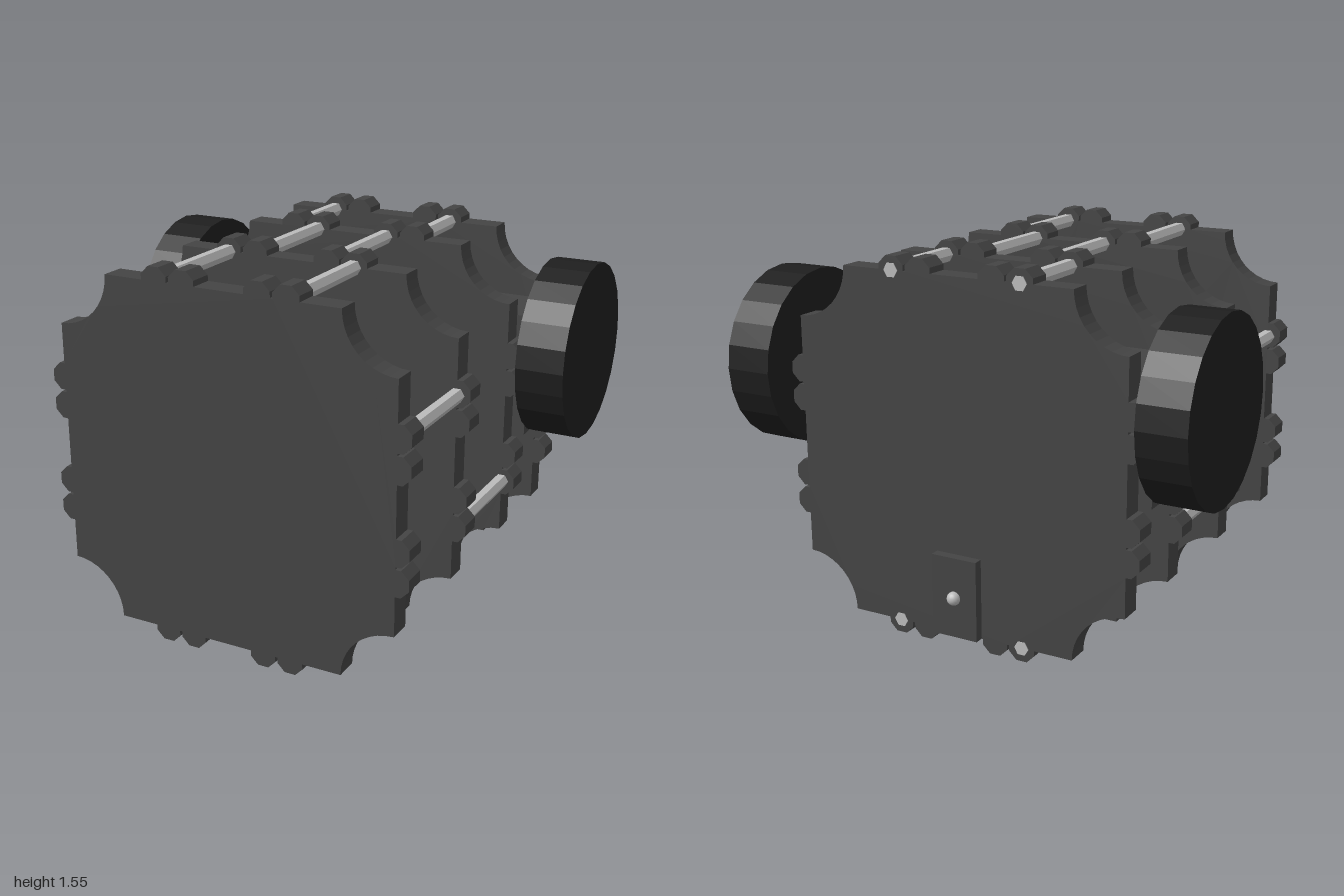
import * as THREE from 'three';

const MID = 0.78;      // height of the plate centre
const HALF = 0.72;     // half width of a plate
const BITE = 0.22;     // radius of the scooped corners
const DEPTH = 0.098;   // plate thickness

const material = (color) => new THREE.MeshStandardMaterial({ color, flatShading: true });
const plateMat = material(0x444444);
const wheelMat = material(0x1e1e1e);
const rodMat = material(0xbbbbbb);

function add(parent, name, geometry, mat, x, y, z) {
  const mesh = new THREE.Mesh(geometry, mat);
  mesh.name = name;
  mesh.position.set(x, y, z);
  parent.add(mesh);
  return mesh;
}

// Square outline: four octagonal lugs per edge, a concave scoop at each corner
function plateShape() {
  const side = [[-HALF + BITE, HALF]];
  for (const c of [-0.28, -0.16, 0.16, 0.28]) {
    side.push([c - 0.055, HALF], [c - 0.055, HALF + 0.023], [c - 0.023, HALF + 0.055],
      [c + 0.023, HALF + 0.055], [c + 0.055, HALF + 0.023], [c + 0.055, HALF]);
  }
  for (let i = 0; i < 10; i++) {
    const a = Math.PI + (i / 10) * Math.PI / 2;
    side.push([HALF + BITE * Math.cos(a), HALF + BITE * Math.sin(a)]);
  }
  const points = [];
  for (let k = 0; k < 4; k++) {
    for (const [x, y] of side) {
      points.push(new THREE.Vector2(x, y).rotateAround(new THREE.Vector2(), -k * Math.PI / 2));
    }
  }
  return new THREE.Shape(points);
}

export function createModel() {
  const model = new THREE.Group();
  model.name = 'wheeledRobot';

  // Four identical frame plates, front to back
  const plateGeo = new THREE.ExtrudeGeometry(plateShape(), { depth: DEPTH, bevelEnabled: false });
  [0.738, 0.21, -0.32, -0.715].forEach((z, i) => {
    add(model, `framePlate${i + 1}`, plateGeo, plateMat, 0, MID, z);
  });

  // Hexagonal spacer rods between the plates
  const rod = (name, x, y, z0, z1) => {
    const geo = new THREE.CylinderGeometry(0.031, 0.031, z1 - z0, 6);
    geo.rotateY(Math.PI / 2).rotateX(Math.PI / 2);
    add(model, name, geo, rodMat, x, y, (z0 + z1) / 2);
  };
  const top = MID + HALF, bottom = MID - HALF;
  for (const s of [1, -1]) {
    const label = s > 0 ? 'left' : 'right';
    rod(`${label}FrontTopRod`, s * 0.28, top, 0.26, 0.79);
    rod(`${label}FrontBottomRod`, s * 0.28, bottom, 0.26, 0.79);
    rod(`${label}FrontSideRod`, s * HALF, 1.055, 0.26, 0.79);
    rod(`${label}MiddleTopRod`, s * 0.16, top, -0.27, 0.26);
    rod(`${label}MiddleSideRod`, s * HALF, 0.505, -0.27, 0.26);
    rod(`${label}BackTopRod`, s * 0.28, top, -0.718, -0.27);
    rod(`${label}BackBottomRod`, s * 0.28, bottom, -0.718, -0.27);

    // Motor, axle and wheel
    add(model, `${label}Motor`, new THREE.BoxGeometry(0.383, 0.52, 0.297), plateMat, s * 0.5835, 0.95, -0.4685);
    const axle = new THREE.CylinderGeometry(0.112, 0.112, 0.06, 24).rotateZ(Math.PI / 2);
    add(model, `${label}Axle`, axle, plateMat, s * 0.785, 1.055, -0.47);
    const wheel = new THREE.CylinderGeometry(0.37, 0.37, 0.2, 24).rotateZ(Math.PI / 2);
    add(model, `${label}Wheel`, wheel, wheelMat, s * 0.9, 1.055, -0.47);
  }

  // Switch panel with a round button on the back
  add(model, 'switchPanel', new THREE.BoxGeometry(0.2, 0.335, 0.04), plateMat, 0, 0.228, -0.734);
  const buttonMat = new THREE.MeshStandardMaterial({ color: 0xbbbbbb });
  add(model, 'switchButton', new THREE.SphereGeometry(0.028, 16, 12), buttonMat, 0, 0.228, -0.758);

  return model;
}
